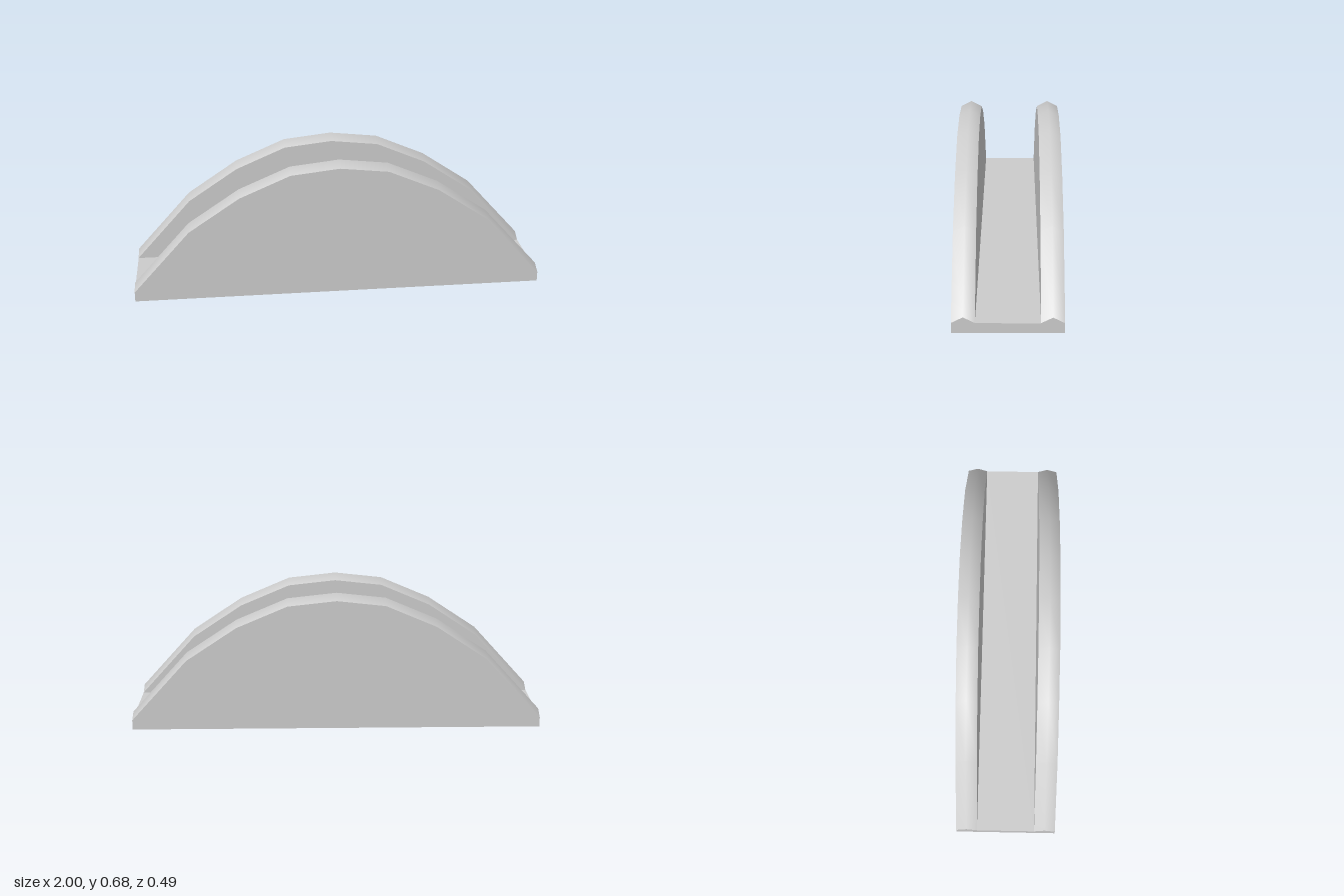
import * as THREE from 'three';

const DEPTH = 0.245, THICK = 0.103, BASE_H = 0.047, RIDGE = 0.027;
// Half of the arched edge, from the middle outwards (x, y)
const HALF = [[0, 0.648], [0.235, 0.622], [0.48, 0.517], [0.725, 0.353], [1, 0.048]];
const ARCH = [...HALF.slice(1).reverse().map(([x, y]) => [-x, y]), ...HALF];

// Pointed rim following the arch, smooth along its length, with flat ends
function rimGeometry() {
  const pos = [], index = [];
  const section = ([x, y]) => pos.push(x, y, THICK / 2, x, y + RIDGE, 0, x, y, -THICK / 2);
  ARCH.forEach(section);
  for (let i = 0; i < ARCH.length - 1; i++) {
    for (let j = 0; j < 2; j++) {
      const a = i * 3 + j, b = a + 3;
      index.push(a, b, b + 1, a, b + 1, a + 1);
    }
  }
  const n = ARCH.length * 3;
  section(ARCH[0]);
  section(ARCH[ARCH.length - 1]);
  index.push(n, n + 1, n + 2, n + 3, n + 5, n + 4);
  const geo = new THREE.BufferGeometry();
  geo.setAttribute('position', new THREE.Float32BufferAttribute(pos, 3));
  geo.setIndex(index);
  geo.computeVertexNormals();
  return geo;
}

export function createModel() {
  const model = new THREE.Group();
  model.name = 'napkinHolder';
  const mat = new THREE.MeshStandardMaterial({ color: 0xcccccc });
  const add = (parent, name, geo) => {
    const mesh = new THREE.Mesh(geo, mat);
    mesh.name = name;
    parent.add(mesh);
    return mesh;
  };

  // Floor between the two walls
  const base = add(model, 'base', new THREE.BoxGeometry(2, BASE_H, 2 * (DEPTH - THICK)));
  base.position.y = BASE_H / 2;

  // Arched walls, each with a pointed rim
  const outline = new THREE.Shape([[-1, 0], [1, 0], ...[...ARCH].reverse()].map(([x, y]) => new THREE.Vector2(x, y)));
  const panel = new THREE.ExtrudeGeometry(outline, { depth: THICK, bevelEnabled: false });
  panel.translate(0, 0, -THICK / 2);
  const rim = rimGeometry();
  for (const [name, side] of [['frontWall', 1], ['backWall', -1]]) {
    const wall = new THREE.Group();
    wall.name = name;
    wall.position.z = side * (DEPTH - THICK / 2);
    add(wall, 'panel', panel);
    add(wall, 'rim', rim);
    model.add(wall);
  }
  return model;
}
